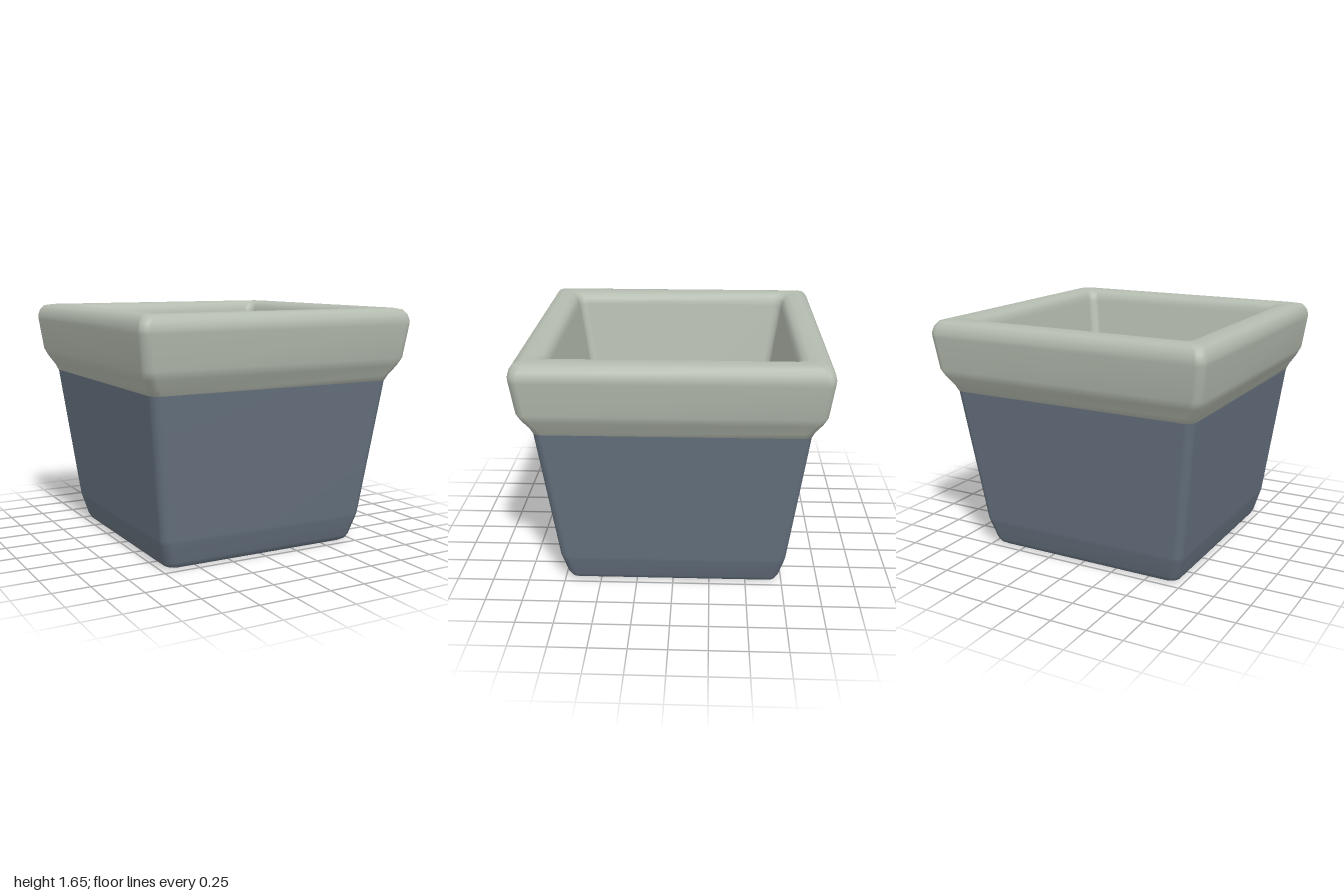
import * as THREE from 'three';

// Rounded square ring of points, anticlockwise seen from above
function squareRing(half, y, radius, steps = 4) {
  const r = Math.min(radius, half), c = half - r, ring = [];
  for (let q = 0; q < 4; q++) {
    const mid = Math.PI / 4 + q * Math.PI / 2;
    const cx = Math.sign(Math.cos(mid)) * c, cz = -Math.sign(Math.sin(mid)) * c;
    for (let i = 0; i <= steps; i++) {
      const a = (q + i / steps) * Math.PI / 2;
      ring.push([cx + r * Math.cos(a), y, cz - r * Math.sin(a)]);
    }
  }
  return ring;
}

// Skin a stack of rings that all have the same number of points
function loft(rings) {
  const n = rings[0].length, index = [];
  for (let j = 0; j < rings.length - 1; j++) {
    for (let i = 0; i < n; i++) {
      const a = j * n + i, b = j * n + (i + 1) % n;
      index.push(a, b, b + n, a, b + n, a + n);
    }
  }
  const geo = new THREE.BufferGeometry();
  geo.setAttribute('position', new THREE.Float32BufferAttribute(rings.flat(2), 3));
  geo.setIndex(index);
  geo.computeVertexNormals();
  return geo;
}

const squareLoft = (profile, radius) => loft(profile.map(([h, y]) => squareRing(h, y, radius)));

export function createModel() {
  const group = new THREE.Group();
  const add = (name, geometry, color, options = {}) => {
    const mesh = new THREE.Mesh(geometry, new THREE.MeshStandardMaterial({ color, ...options }));
    mesh.name = name;
    group.add(mesh);
  };
  const blue = 0x66727f, stone = 0xb4bbaf, brown = 0x7c4a45;

  // Tapered body with a chamfered foot
  add('potBody', squareLoft([
    [0, 0], [0.66, 0], [0.69, 0.004], [0.715, 0.02], [0.73, 0.05],
    [0.765, 0.18], [0.772, 0.21], [0.885, 1.15], [0.888, 1.18],
  ], 0.06), blue);

  // Thick rounded rim that carries on down as the inner wall
  add('rimAndInnerWall', squareLoft([
    [0.87, 1.155], [0.888, 1.16], [0.905, 1.2], [0.945, 1.265], [0.97, 1.32],
    [0.998, 1.54], [1, 1.57], [0.99, 1.61], [0.965, 1.645], [0.92, 1.655],
    [0.85, 1.655], [0.81, 1.64], [0.788, 1.61], [0.78, 1.57], [0.55, 0.15],
  ], 0.06), stone);

  // Floor inside the pot
  add('innerFloor', squareLoft([[0.56, 0.18], [0.53, 0.15], [0, 0.15]], 0.05), blue);

  // Faceted, slightly domed mound of soil
  const outline = [
    [0.68, 0], [0.67, -0.27], [0.43, -0.6], [0.14, -0.68], [-0.2, -0.68], [-0.43, -0.6],
    [-0.68, -0.27], [-0.68, 0.25], [-0.43, 0.6], [-0.2, 0.67], [0.14, 0.68], [0.43, 0.6], [0.67, 0.27],
  ];
  const soilRings = [[0, 0.85], [0.85, 0.9], [1, 1.0], [0.975, 1.065], [0.6, 1.1], [0, 1.12]]
    .map(([s, y]) => outline.map(([x, z]) => [x * s, y, z * s]));
  add('soil', loft(soilRings), brown, { flatShading: true });

  return group;
}
